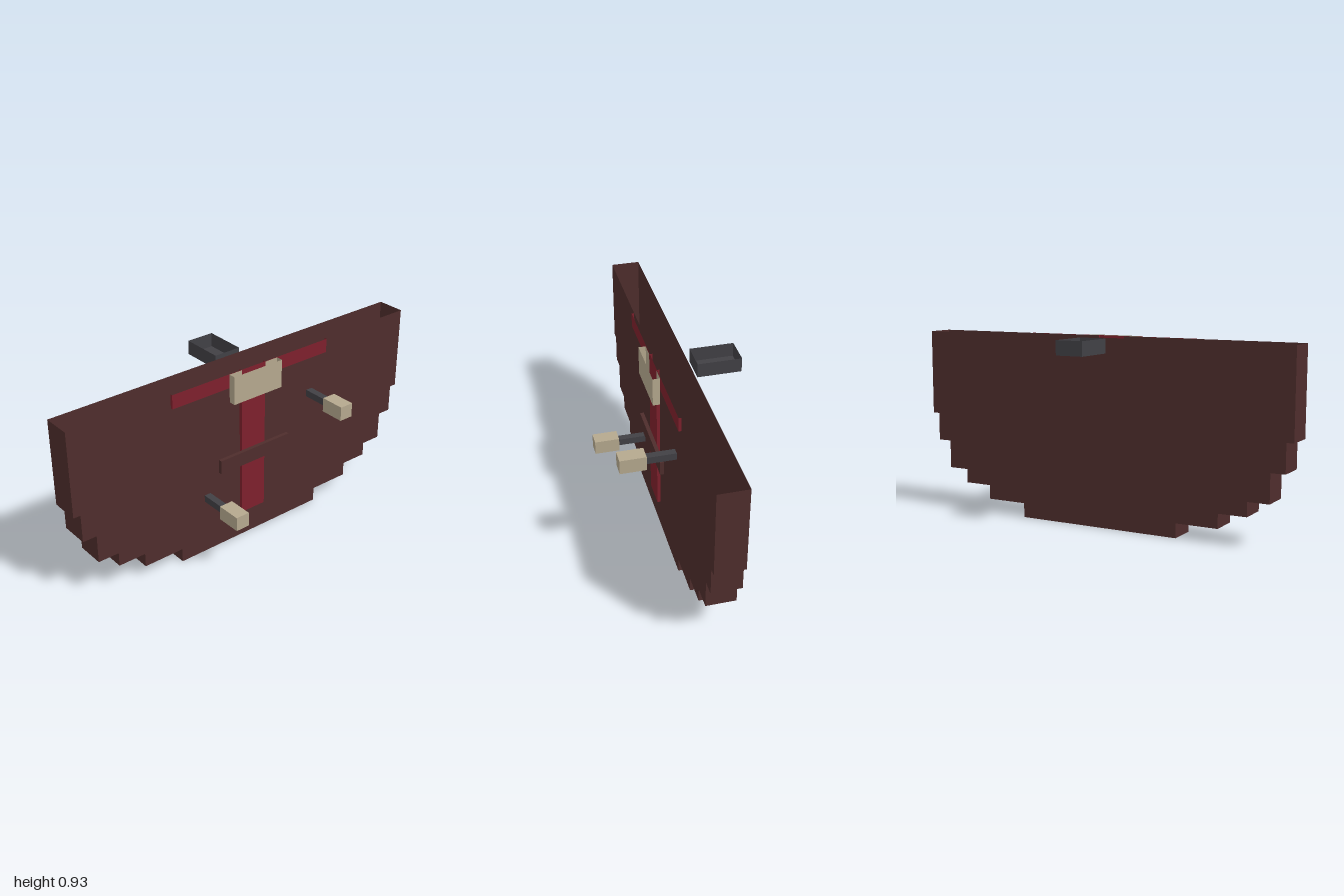
import * as THREE from 'three';
import { mergeGeometries } from 'three/addons/utils/BufferGeometryUtils.js';

const material = (name, color) => {
  const m = new THREE.MeshStandardMaterial({ color, side: THREE.DoubleSide });
  m.name = name;
  return m;
};

// Box given by its limits; omit lists faces to leave open (0 +x, 1 -x, 2 +y, 3 -y, 4 +z, 5 -z)
function openBox([x0, x1], [y0, y1], [z0, z1], omit = []) {
  const g = new THREE.BoxGeometry(x1 - x0, y1 - y0, z1 - z0);
  const index = Array.from(g.index.array).filter((_, i) => !omit.includes(Math.floor(i / 6)));
  g.setIndex(index);
  g.clearGroups();
  g.translate((x0 + x1) / 2, (y0 + y1) / 2, (z0 + z1) / 2);
  return g;
}

export function createModel() {
  const group = new THREE.Group();
  const brown = material('dark brown', 0x4e2d2c);
  const red = material('deep red', 0x7e202c);
  const beige = material('beige', 0xb5a88e);
  const gray = material('dark gray', 0x414045);
  const add = (name, geometry, mat) => {
    const mesh = new THREE.Mesh(geometry, mat);
    mesh.name = name;
    group.add(mesh);
  };

  const top = 0.93, front = 0.064, back = -0.079;

  // Stepped outline, right half from the rim down: [half width, lower y]
  const steps = [[1, 0.5], [0.964, 0.358], [0.893, 0.215], [0.786, 0.144], [0.643, 0.072], [0.429, 0]];
  const half = [];
  let y = top;
  for (const [w, low] of steps) {
    half.push(new THREE.Vector2(w, y), new THREE.Vector2(w, low));
    y = low;
  }
  const mirrored = half.map(p => new THREE.Vector2(-p.x, p.y)).reverse();
  const outline = [...half, ...mirrored];

  // Hollow body: front with a notch behind the stripe, back, and side walls; the top is open
  const notch = [[-0.071, top], [-0.071, 0.859], [0.071, 0.859], [0.071, top]].map(p => new THREE.Vector2(...p));
  const parts = [
    new THREE.ShapeGeometry(new THREE.Shape([...outline, ...notch])).translate(0, 0, front),
    new THREE.ShapeGeometry(new THREE.Shape(outline)).rotateY(Math.PI).translate(0, 0, back),
  ];
  for (let i = 0; i < outline.length - 1; i++) {
    const a = outline[i], b = outline[i + 1];
    const wall = new THREE.PlaneGeometry(a.distanceTo(b), front - back);
    wall.rotateX(Math.PI / 2);
    wall.rotateZ(Math.atan2(b.y - a.y, b.x - a.x));
    wall.translate((a.x + b.x) / 2, (a.y + b.y) / 2, (front + back) / 2);
    // Turn the face outward
    const n = wall.attributes.normal;
    const outward = new THREE.Vector2(a.y - b.y, b.x - a.x).normalize().negate();
    if (n.getX(0) * outward.x + n.getY(0) * outward.y > 0 !== true) {
      wall.setIndex(Array.from(wall.index.array).reverse());
      for (let k = 0; k < n.count; k++) n.setXYZ(k, -n.getX(k), -n.getY(k), -n.getZ(k));
    }
    parts.push(wall);
  }
  // The outline runs clockwise, so outward is to the left of each edge
  for (const wall of parts.slice(2)) {
    const n = wall.attributes.normal;
    wall.computeBoundingBox();
    const c = wall.boundingBox.getCenter(new THREE.Vector3());
    const inward = n.getX(0) * c.x > 0.001 ? false : n.getY(0) > -0.5;
    if (inward) {
      wall.setIndex(Array.from(wall.index.array).reverse());
      for (let k = 0; k < n.count; k++) n.setXYZ(k, -n.getX(k), -n.getY(k), -n.getZ(k));
    }
  }
  add('shieldBody', mergeGeometries(parts), brown);

  // Red cross on the front
  add('verticalStripe', openBox([-0.071, 0.071], [0.144, top], [front, 0.08], [2, 5]), red);
  add('horizontalStripe', openBox([-0.464, 0.464], [0.859, top], [front, 0.077], [2, 5]), red);

  // Pale block over the crossing, open at the top and against the stripe
  add('centreBlock', mergeGeometries([
    openBox([-0.143, 0.143], [0.787, top], [0.08, 0.115], [2, 5]),
    ...[-1, 1].map(s => new THREE.PlaneGeometry(0.072, top - 0.787).rotateY(Math.PI)
      .translate(s * 0.107, (top + 0.787) / 2, 0.08)),
  ]), beige);

  add('crossBand', openBox([-0.211, 0.211], [0.43, 0.501], [0.08, 0.099]), brown);

  // Pegs with pale ends
  for (const [name, x, py] of [['left', 0.37, 0.664], ['right', -0.27, 0.306]]) {
    const span = (c, r) => [c - r, c + r];
    add(name + 'PegShaft', openBox(span(x, 0.0175), span(py, 0.0175), [front, 0.206]), gray);
    add(name + 'PegEnd', openBox(span(x, 0.036), span(py, 0.036), [0.206, 0.331]), beige);
  }

  // Hollow grip behind the body
  add('rearGrip', openBox([-0.071, 0.071], [0.859, top], [-0.331, -0.116], [2]), gray);
  return group;
}
